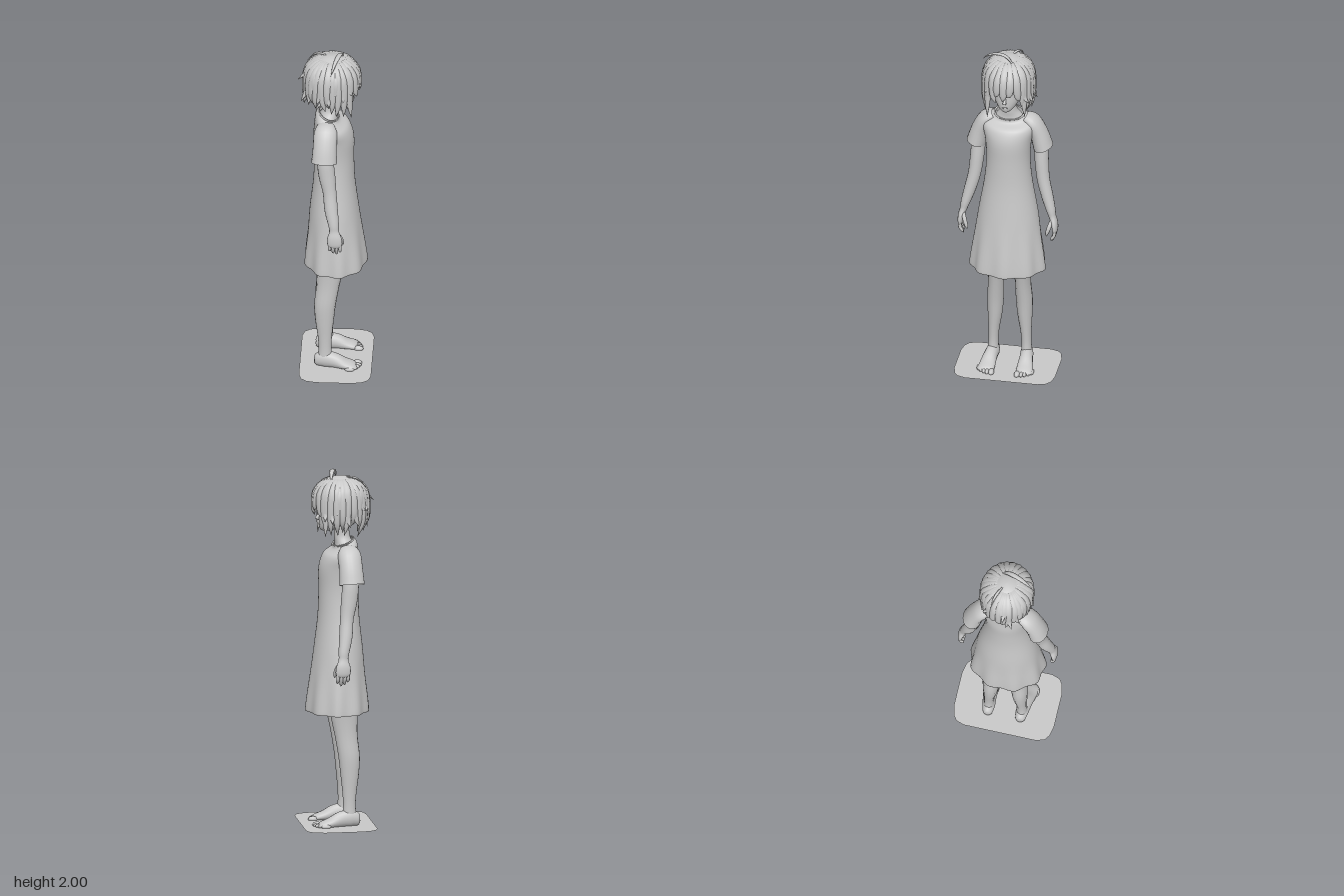
import * as THREE from 'three';

const V = (x, y, z) => new THREE.Vector3(x, y, z);
const grey = new THREE.MeshStandardMaterial({ color: 0xc8c8c8, side: THREE.DoubleSide });
grey.name = 'plain grey';

let seed = 7;
const rand = (a, b) => {
  seed = (seed * 16807) % 2147483647;
  return a + (b - a) * seed / 2147483647;
};

function add(parent, name, geometry) {
  const mesh = new THREE.Mesh(geometry, grey);
  mesh.name = name;
  parent.add(mesh);
  return mesh;
}

// Smooth elliptical sweep. Each ring: [x, y, z, radius along ref, radius across].
// level keeps the rings horizontal; warp may move each vertex.
function sweep(rings, { ref = V(1, 0, 0), sides = 16, steps = 4, level = false, warp } = {}) {
  const path = new THREE.CatmullRomCurve3(rings.map(r => V(r[0], r[1], r[2])), false, 'catmullrom');
  const radii = new THREE.CatmullRomCurve3(rings.map(r => V(r[3], r[4], 0)), false, 'catmullrom');
  const n = (rings.length - 1) * steps;
  const up = V(0, Math.sign(rings[rings.length - 1][1] - rings[0][1]), 0);
  const pos = [], index = [];
  for (let i = 0; i <= n; i++) {
    const t = i / n, c = path.getPoint(t), r = radii.getPoint(t);
    const T = level ? up : path.getTangent(t);
    const A = ref.clone().addScaledVector(T, -ref.dot(T)).normalize();
    const B = T.clone().cross(A);
    for (let j = 0; j < sides; j++) {
      const a = j / sides * Math.PI * 2;
      const p = c.clone()
        .addScaledVector(A, Math.cos(a) * Math.max(r.x, 0.0005))
        .addScaledVector(B, Math.sin(a) * Math.max(r.y, 0.0005));
      if (warp) warp(p, a, c);
      pos.push(p.x, p.y, p.z);
      if (i < n) {
        const k = (j + 1) % sides, q = i * sides, s = q + sides;
        index.push(q + j, q + k, s + k, q + j, s + k, s + j);
      }
    }
  }
  const g = new THREE.BufferGeometry();
  g.setAttribute('position', new THREE.Float32BufferAttribute(pos, 3));
  g.setIndex(index);
  g.computeVertexNormals();
  return g;
}

function ellipsoid(x, y, z, rx, ry, rz) {
  return new THREE.SphereGeometry(1, 14, 10).scale(rx, ry, rz).translate(x, y, z);
}

// Hair volume shared by the cap and the locks
const C = V(-0.015, 1.835, 0), R = V(0.145, 0.135, 0.132);
const onHair = (a, th, f) => [
  C.x + R.x * f * Math.sin(th) * Math.cos(a),
  C.y + R.y * f * Math.cos(th),
  C.z + R.z * f * Math.sin(th) * Math.sin(a)];

// One tapered lock running from the crown to a free tip
function lock(parent, name, a, tipY, spread, width, start = 0.3) {
  const swing = rand(-0.18, 0.18);
  const end = onHair(a + swing, Math.PI / 2, spread);
  const mid = onHair(a + swing * 0.3, Math.PI / 2, 1.04);
  const low = 1.835 * 0.45 + tipY * 0.55;
  add(parent, name, sweep([
    [...onHair(a, start, 0.96), 0.002, 0.006],
    [...onHair(a, start * 0.5 + 0.55, 1.0), 0.012, width * 0.8],
    [...onHair(a, 1.25, 1.03), 0.016, width],
    [mid[0], low, mid[2], 0.013, width * 0.75],
    [end[0], tipY, end[2], 0.0005, 0.0005],
  ], { ref: V(Math.cos(a), 0.8, Math.sin(a)), sides: 8 }));
}

function buildHair(parent) {
  const hair = new THREE.Group();
  hair.name = 'hair';
  // Cap, cut high over the face and low at the nape
  const cap = new THREE.SphereGeometry(1, 36, 18);
  const p = cap.attributes.position, uv = cap.attributes.uv;
  for (let i = 0; i < p.count; i++) {
    const a = uv.getX(i) * Math.PI * 2;
    const front = THREE.MathUtils.smoothstep(Math.cos(a), 0.2, 0.75);
    const v = onHair(a, (1 - uv.getY(i)) * (2.35 - front * 0.95), 1);
    p.setXYZ(i, ...v);
  }
  const ix = cap.index.array;
  for (let i = 0; i < ix.length; i += 3) [ix[i], ix[i + 1]] = [ix[i + 1], ix[i]];
  cap.computeVertexNormals();
  add(hair, 'hairCap', cap);
  // Long under layer, then a shorter flicked layer
  for (let i = 0; i < 22; i++) {
    const a = 0.85 + i / 21 * (Math.PI * 2 - 1.7);
    lock(hair, 'longLock', a, rand(1.63, 1.70), rand(0.68, 1.12), 0.025);
  }
  for (let i = 0; i < 17; i++) {
    const a = 0.8 + i / 16 * (Math.PI * 2 - 1.6);
    lock(hair, 'shortLock', a, rand(1.70, 1.80), rand(1.06, 1.27), 0.026);
  }
  // Fringe over the forehead
  [-0.78, -0.52, -0.25, 0.02, 0.28, 0.54, 0.8].forEach((a, i) =>
    lock(hair, 'fringeLock', a, [1.70, 1.75, 1.785, 1.755, 1.78, 1.74, 1.69][i], 1.03, 0.027));
  // Stray strands on the crown
  add(hair, 'cowlick', sweep([
    [0.045, 1.94, -0.04, 0.003, 0.004], [0.035, 1.985, 0.0, 0.012, 0.006],
    [0.02, 1.993, 0.05, 0.014, 0.005], [0.0, 1.97, 0.11, 0.009, 0.004], [-0.015, 1.93, 0.15, 0, 0]],
    { sides: 8 }));
  add(hair, 'strayStrand', sweep([
    [-0.03, 1.96, -0.01, 0.002, 0.003], [-0.08, 1.965, -0.035, 0.008, 0.006],
    [-0.12, 1.945, -0.052, 0.006, 0.004], [-0.155, 1.90, -0.06, 0, 0]],
    { ref: V(0, 0, 1), sides: 8 }));
  add(hair, 'backSpike', sweep([
    [-0.1, 1.90, 0.01, 0.012, 0.02], [-0.155, 1.865, 0.013, 0.012, 0.018], [-0.205, 1.82, 0.016, 0, 0]],
    { ref: V(0, 1, 0), sides: 8 }));
  parent.add(hair);
}

// Sleeve, arm, leg and foot for one side (s = 1 or -1 along z)
function buildSide(parent, side, s) {
  const limb = (name, rings, o) => add(parent, side + name, sweep(rings.map(r => [r[0], r[1], r[2] * s, r[3], r[4]]), o));
  limb('Sleeve', [
    [-0.045, 1.575, 0.085, 0.045, 0.025], [-0.045, 1.545, 0.128, 0.064, 0.044],
    [-0.048, 1.47, 0.165, 0.066, 0.05], [-0.05, 1.388, 0.188, 0.071, 0.055]], { sides: 20 });
  limb('Arm', [
    [-0.045, 1.5, 0.14, 0.045, 0.038], [-0.045, 1.4, 0.172, 0.046, 0.04], [-0.035, 1.3, 0.182, 0.046, 0.039],
    [-0.02, 1.2, 0.193, 0.038, 0.036], [-0.01, 1.1, 0.217, 0.037, 0.033], [0.004, 1.02, 0.24, 0.03, 0.026],
    [0.008, 0.98, 0.25, 0.027, 0.02], [0.01, 0.94, 0.262, 0.04, 0.018], [0.013, 0.9, 0.266, 0.04, 0.015],
    [0.013, 0.88, 0.265, 0.02, 0.006]]);
  for (let i = 0; i < 4; i++) {
    const x = -0.016 + i * 0.019, tip = [0.85, 0.836, 0.83, 0.842][i];
    limb('Finger', [
      [x, 0.91, 0.266, 0.008, 0.009], [x, 0.875, 0.265, 0.0095, 0.0095],
      [x, tip + 0.012, 0.252, 0.008, 0.008], [x, tip, 0.246, 0, 0]], { sides: 8 });
  }
  limb('Thumb', [
    [0.025, 0.965, 0.25, 0.01, 0.01], [0.045, 0.925, 0.237, 0.012, 0.012],
    [0.052, 0.89, 0.226, 0.009, 0.009], [0.052, 0.872, 0.223, 0, 0]], { sides: 8 });
  limb('Leg', [
    [-0.02, 0.95, 0.082, 0.085, 0.075], [-0.02, 0.76, 0.08, 0.082, 0.058], [-0.023, 0.64, 0.076, 0.077, 0.047],
    [-0.034, 0.52, 0.076, 0.064, 0.044], [-0.05, 0.4, 0.081, 0.06, 0.046], [-0.053, 0.3, 0.084, 0.052, 0.041],
    [-0.051, 0.2, 0.09, 0.04, 0.031], [-0.05, 0.12, 0.093, 0.035, 0.028], [-0.05, 0.05, 0.094, 0.042, 0.032]],
    { level: true });
  limb('Foot', [
    [-0.112, 0.034, 0.092, 0, 0], [-0.1, 0.036, 0.092, 0.03, 0.024], [-0.06, 0.05, 0.094, 0.048, 0.035],
    [0, 0.046, 0.1, 0.044, 0.038], [0.06, 0.029, 0.105, 0.028, 0.045], [0.105, 0.02, 0.108, 0.018, 0.046],
    [0.125, 0.016, 0.108, 0.008, 0.035]], { ref: V(0, 1, 0) });
  for (let i = 0; i < 5; i++)
    add(parent, side + 'Toe', ellipsoid(0.128 - i * i * 0.0025, 0.016, s * (i ? 0.078 + i * 0.018 : 0.072),
      0.027, i ? 0.013 : 0.016, i ? 0.0105 : 0.016));
}

export function createModel() {
  const model = new THREE.Group();
  model.name = 'standingGirl';

  // Flat stand with rounded corners
  const corner = [[0.1, 0.284], [0.155, 0.272], [0.185, 0.25], [0.2, 0.205], [0.2, 0.16]];
  const outline = [];
  for (const [sx, sz] of [[1, 1], [1, -1], [-1, -1], [-1, 1]])
    for (const [x, z] of sx * sz > 0 ? corner : [...corner].reverse())
      outline.push(new THREE.Vector2(0.01 + sx * x, sz * z));
  add(model, 'stand', new THREE.ShapeGeometry(new THREE.Shape(outline)).rotateX(-Math.PI / 2).translate(0, 0.01, 0));

  // Dress with a turned hem, soft folds and a neckline lower in front
  add(model, 'dress', sweep([
    [0.005, 0.69, 0, 0.158, 0.197], [0.005, 0.648, 0, 0.171, 0.209], [0.004, 0.72, 0, 0.166, 0.202],
    [0.002, 0.85, 0, 0.151, 0.185], [-0.002, 1.0, 0, 0.135, 0.165], [-0.003, 1.18, 0, 0.115, 0.135],
    [-0.004, 1.33, 0, 0.111, 0.122], [-0.006, 1.45, 0, 0.113, 0.13], [-0.014, 1.52, 0, 0.1, 0.145],
    [-0.03, 1.57, 0, 0.08, 0.138], [-0.037, 1.6, 0, 0.067, 0.105], [-0.033, 1.618, 0, 0.058, 0.082]],
    { sides: 64, level: true, warp: (p, a, c) => {
      const fold = 1 - THREE.MathUtils.smoothstep(c.y, 0.64, 1.0);
      const k = 1 + 0.04 * fold * Math.cos(9 * a);
      p.x = c.x + (p.x - c.x) * k;
      p.z *= k;
      p.y -= 0.022 * (1 + Math.cos(a)) * THREE.MathUtils.smoothstep(c.y, 1.52, 1.62);
    } }));
  add(model, 'collar', new THREE.TorusGeometry(1, 0.07, 8, 40).rotateX(Math.PI / 2)
    .scale(0.058, 0.07, 0.082).rotateZ(-0.36).translate(-0.033, 1.597, 0));

  // Shoulders inside the neckline, neck and head
  add(model, 'neck', sweep([
    [-0.035, 1.53, 0, 0.06, 0.11], [-0.035, 1.585, 0, 0.052, 0.075], [-0.024, 1.625, 0, 0.045, 0.048],
    [-0.02, 1.67, 0, 0.043, 0.043], [-0.015, 1.73, 0, 0.045, 0.045]], { level: true, sides: 20 }));
  add(model, 'head', sweep([
    [0.07, 1.662, 0, 0.006, 0.005], [0.06, 1.668, 0, 0.036, 0.025], [0.04, 1.69, 0, 0.065, 0.05],
    [0.018, 1.73, 0, 0.088, 0.073], [0.0, 1.785, 0, 0.104, 0.086], [-0.005, 1.85, 0, 0.118, 0.1],
    [-0.01, 1.92, 0, 0.09, 0.08], [-0.01, 1.95, 0, 0.01, 0.01]], { level: true, sides: 24 }));
  add(model, 'nose', sweep([
    [0.098, 1.775, 0, 0.004, 0.005], [0.109, 1.75, 0, 0.008, 0.008],
    [0.116, 1.734, 0, 0.012, 0.01], [0.106, 1.722, 0, 0.003, 0.004]], { level: true, sides: 10 }));
  add(model, 'lips', ellipsoid(0.103, 1.7, 0, 0.006, 0.006, 0.016));
  buildHair(model);

  buildSide(model, 'left', -1);
  buildSide(model, 'right', 1);
  return model;
}
